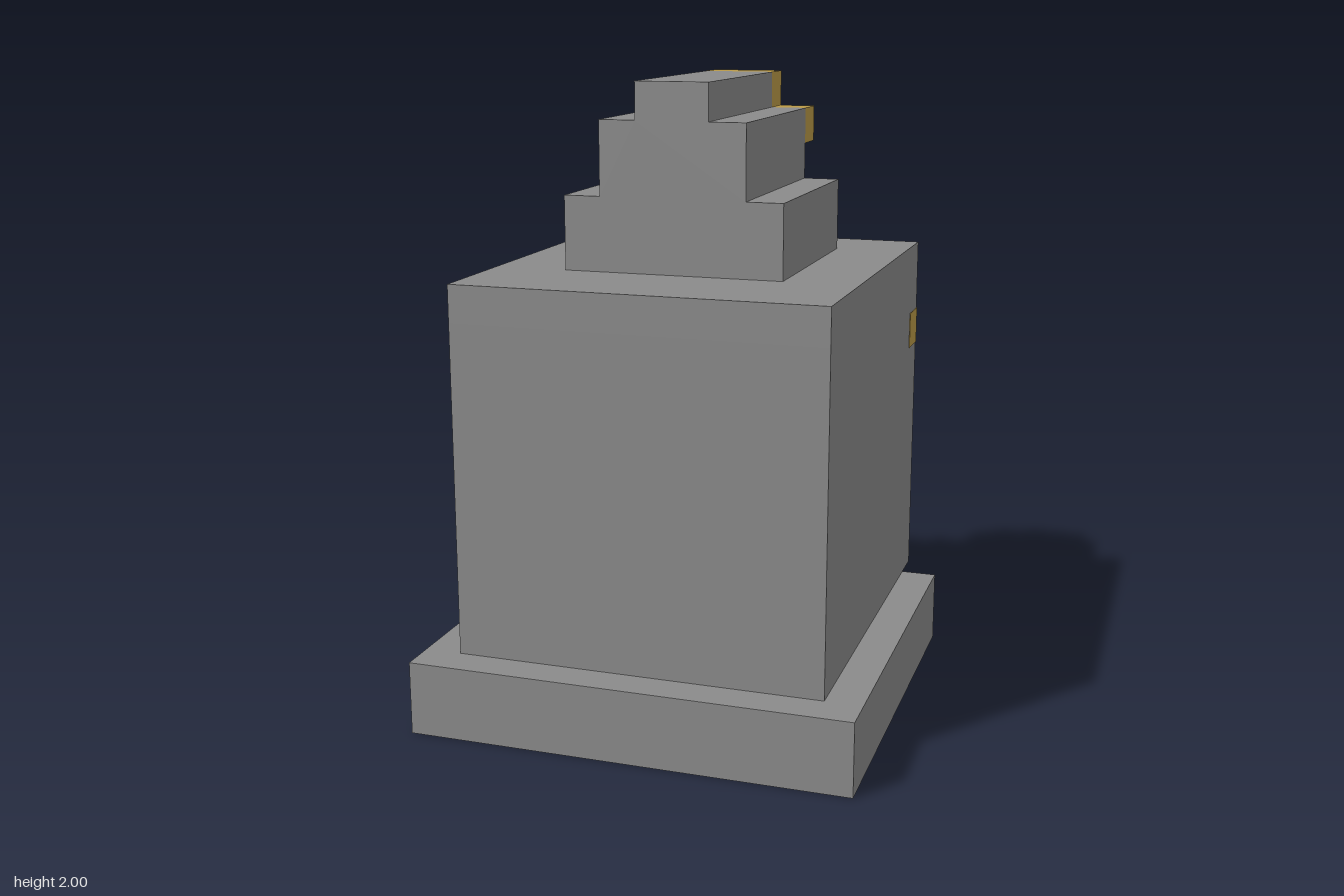
import * as THREE from 'three';

// One building block; every part is a whole number of blocks.
const U = 2 / 17;

const makeMaterial = (name, color) => {
  const m = new THREE.MeshStandardMaterial({ color });
  m.name = name;
  return m;
};

const polygon = (points) => new THREE.Shape(points.map(([x, y]) => new THREE.Vector2(x * U, y * U)));

export function createModel() {
  const stone = makeMaterial('stone grey', 0x8a8a8a);
  const gold = makeMaterial('gold', 0xba9a48);
  const red = makeMaterial('red', 0xb83849);
  const blue = makeMaterial('light blue', 0x7ba8c1);

  const model = new THREE.Group();
  model.name = 'shrine';

  const add = (name, geometry, material) => {
    const mesh = new THREE.Mesh(geometry, material);
    mesh.name = name;
    model.add(mesh);
    return mesh;
  };

  // Box from its low and high corners, in blocks
  const box = (name, material, [x0, y0, z0], [x1, y1, z1], grow = 0) => {
    const g = new THREE.BoxGeometry((x1 - x0) * U + grow, (y1 - y0) * U + grow, (z1 - z0) * U + grow);
    g.translate((x0 + x1) * U / 2, (y0 + y1) * U / 2, (z0 + z1) * U / 2);
    return add(name, g, material);
  };

  // Floor plan (x, -z) raised from y0 to y1
  const raise = (name, shape, y0, y1) => {
    const g = new THREE.ExtrudeGeometry(shape, { depth: (y1 - y0) * U, bevelEnabled: false });
    g.rotateX(-Math.PI / 2).translate(0, y0 * U, 0);
    return add(name, g, stone);
  };

  // Upright outline (x, y) running from z0 to z1
  const run = (name, shape, z0, z1, material) => {
    const g = new THREE.ExtrudeGeometry(shape, { depth: (z1 - z0) * U, bevelEnabled: false });
    g.translate(0, 0, z0 * U);
    return add(name, g, material);
  };

  // Base frame, open through the middle
  const base = polygon([[-6, -6.5], [6, -6.5], [6, 4.5], [-6, 4.5]]);
  base.holes.push(polygon([[-4, -4.5], [-4, 3.5], [4, 3.5], [4, -4.5]]));
  raise('base', base, 0, 2);

  // Front and side walls, open at the back, under a flat roof slab
  raise('walls', polygon([
    [-5, -5.5], [5, -5.5], [5, 5.5], [4, 5.5], [4, -4.5], [-4, -4.5], [-4, 5.5], [-5, 5.5],
  ]), 2, 11);
  box('roof', stone, [-5, 11, -5.5], [5, 12, 5.5]);

  // Stepped ridge on the roof
  run('steppedRidge', polygon([
    [-3, 12], [3, 12], [3, 14], [2, 14], [2, 16], [1, 16], [1, 17],
    [-1, 17], [-1, 16], [-2, 16], [-2, 14], [-3, 14],
  ]), -3.5, 2.5, stone);

  // Gold cross on the back of the ridge, with a blue gem
  run('ridgeCross', polygon([
    [-1, 13], [1, 13], [1, 15], [2, 15], [2, 16], [1, 16], [1, 17],
    [-1, 17], [-1, 16], [-2, 16], [-2, 15], [-1, 15],
  ]), -4.5, -3.5, gold);
  box('gem', blue, [-1, 14, -5.5], [0, 15, -4.5]);

  // Gold bar through both walls, just proud of them, carrying the red clasp
  box('crossbar', gold, [-5, 9, -5.5], [5, 10, -4.5], 0.004);
  for (const side of [-1, 1]) {
    box(side > 0 ? 'leftBracket' : 'rightBracket', gold,
      [side > 0 ? 1 : -2, 9, -6.5], [side > 0 ? 2 : -1, 10, -5.5]);
  }
  box('clasp', red, [-1, 8, -6.5], [1, 11, -5.5]);

  return model;
}
